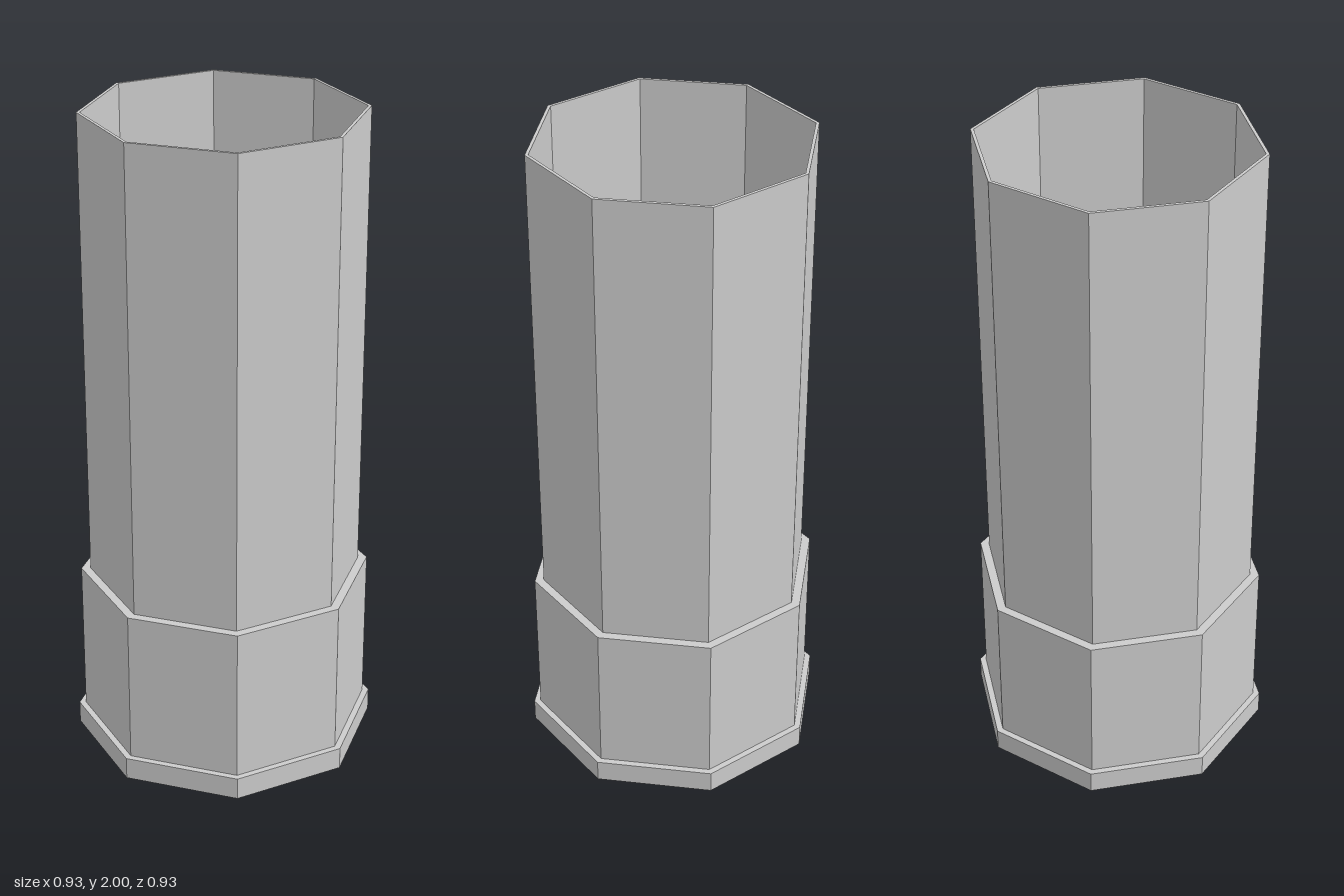
import * as THREE from 'three';

const SIDES = 8;
const RIM_R = 0.463, SLEEVE_R = 0.443, TUBE_R = 0.415, BORE_R = 0.405;
const RIM_TOP = 0.07, SLEEVE_TOP = 0.555, TOP = 2;

export function createModel() {
  const group = new THREE.Group();
  group.name = 'casing';
  const material = new THREE.MeshStandardMaterial({ color: 0xcccccc, flatShading: true });

  // Turns a [radius, height] profile into an eight-sided part
  const turn = (name, profile) => {
    const points = profile.map(([r, y]) => new THREE.Vector2(r, y));
    const mesh = new THREE.Mesh(new THREE.LatheGeometry(points, SIDES), material);
    mesh.name = name;
    group.add(mesh);
  };

  // Closed bottom with a thin protruding rim
  turn('baseRim', [[0, 0], [RIM_R, 0], [RIM_R, RIM_TOP], [SLEEVE_R, RIM_TOP]]);

  // Thicker sleeve around the lower part
  turn('lowerSleeve', [[SLEEVE_R, RIM_TOP], [SLEEVE_R, SLEEVE_TOP], [TUBE_R, SLEEVE_TOP]]);

  // Long tube, its lip, the hollow bore and the inner floor
  turn('hollowTube', [
    [TUBE_R, SLEEVE_TOP], [TUBE_R, TOP], [BORE_R, TOP], [BORE_R, RIM_TOP], [0, RIM_TOP],
  ]);

  return group;
}
